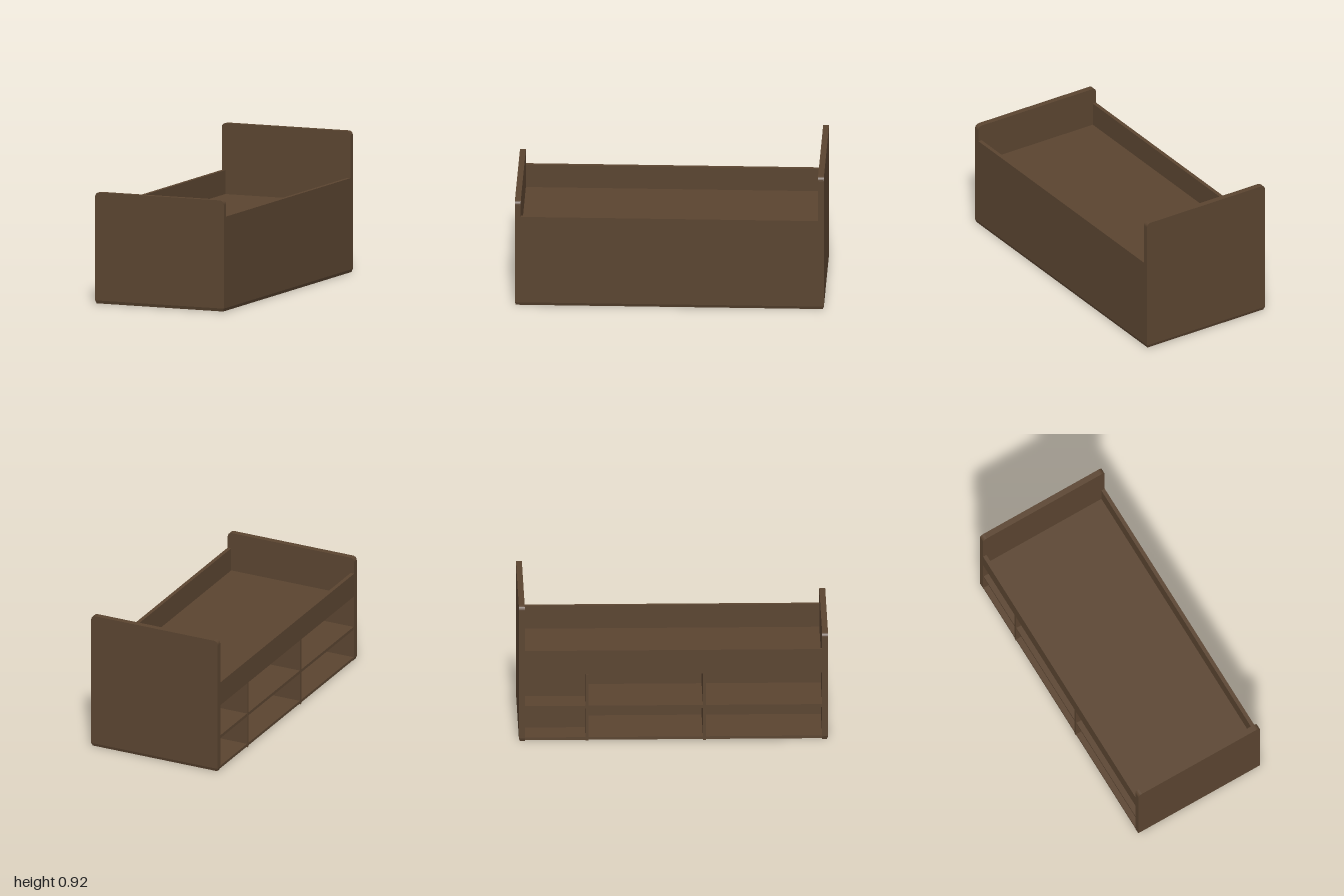
import * as THREE from 'three';

const wood = new THREE.MeshStandardMaterial({ color: 0x5a4430, flatShading: true });

const HW = 0.456;        // half width
const HL = 0.9965;       // half length
const END = 0.038;       // head and foot board thickness
const SIDE = 0.025;      // side board thickness
const RAIL_TOP = 0.615;
const DECK = 0.455;
const BEVEL = 0.02;      // height of the bevel along the floor

export function createModel() {
  const model = new THREE.Group();
  model.name = 'storageBed';

  const add = (name, geometry) => {
    const mesh = new THREE.Mesh(geometry, wood);
    mesh.name = name;
    model.add(mesh);
    return mesh;
  };

  // Box given by its limits on each axis
  const box = (name, x0, x1, y0, y1, z0, z1) => {
    const g = new THREE.BoxGeometry(x1 - x0, y1 - y0, z1 - z0);
    g.translate((x0 + x1) / 2, (y0 + y1) / 2, (z0 + z1) / 2);
    return add(name, g);
  };

  // Foot strip whose lower outer corners are drawn in
  const foot = (name, x0, x1, z0, z1) => {
    const mesh = box(name, x0, x1, 0, BEVEL, z0, z1);
    const p = mesh.geometry.attributes.position;
    for (let i = 0; i < p.count; i++) {
      if (p.getY(i) > BEVEL / 2) continue;
      const x = p.getX(i), z = p.getZ(i);
      if (Math.abs(x) > HW - 0.001) p.setX(i, x - Math.sign(x) * 0.007);
      if (Math.abs(z) > HL - 0.001) p.setZ(i, z - Math.sign(z) * 0.007);
    }
    mesh.geometry.computeVertexNormals();
  };

  // Head and foot boards with rounded top corners
  const endBoard = (name, height, z0) => {
    const r = 0.027;
    const s = new THREE.Shape();
    s.moveTo(-HW, BEVEL);
    s.lineTo(HW, BEVEL);
    s.lineTo(HW, height - r);
    s.absarc(HW - r, height - r, r, 0, Math.PI / 2);
    s.lineTo(-HW + r, height);
    s.absarc(-HW + r, height - r, r, Math.PI / 2, Math.PI);
    const g = new THREE.ExtrudeGeometry(s, { depth: END, bevelEnabled: false, curveSegments: 3 });
    g.translate(0, 0, z0);
    add(name, g);
    foot(name + 'Foot', -HW, HW, z0, z0 + END);
  };
  endBoard('headboard', 0.92, -HL);
  endBoard('footboard', 0.723, HL - END);

  // Closed side, open-side rail and mattress deck
  const zi = HL - END;
  box('closedSide', HW - SIDE, HW, BEVEL, RAIL_TOP, -zi, zi);
  foot('closedSideFoot', HW - SIDE, HW, -zi, zi);
  box('shelfSideRail', -HW, -HW + SIDE, DECK, RAIL_TOP, -zi, zi);
  box('mattressDeck', -HW + SIDE, HW - SIDE, DECK - 0.002, DECK + 0.004, -zi, zi);

  // Shelf bays along the open side; the one by the headboard is shallower
  const T = 0.02;
  const lip = 0.02;
  const dividers = [-0.557, 0.2];
  const bays = [
    { z0: -zi, z1: dividers[0] - T / 2, depth: 0.23 },
    { z0: dividers[0] + T / 2, z1: dividers[1] - T / 2, depth: 0.46 },
    { z0: dividers[1] + T / 2, z1: zi, depth: 0.46 },
  ];
  bays.forEach(({ z0, z1, depth }) => {
    const back = -HW + depth;
    box('bayFloor', -HW + 0.004, back, 0.006, 0.024, z0, z1);
    box('bayShelf', -HW + 0.004, back, 0.218, 0.238, z0, z1);
    box('bayBack', back - lip - 0.01, back - lip, 0.024, DECK - 0.002, z0, z1);
  });
  dividers.forEach((z) =>
    box('bayDivider', -HW + 0.002, -HW + 0.46, 0, DECK - 0.002, z - T / 2, z + T / 2));

  // The bed stands very slightly turned
  model.rotation.y = 0.0078;
  return model;
}
